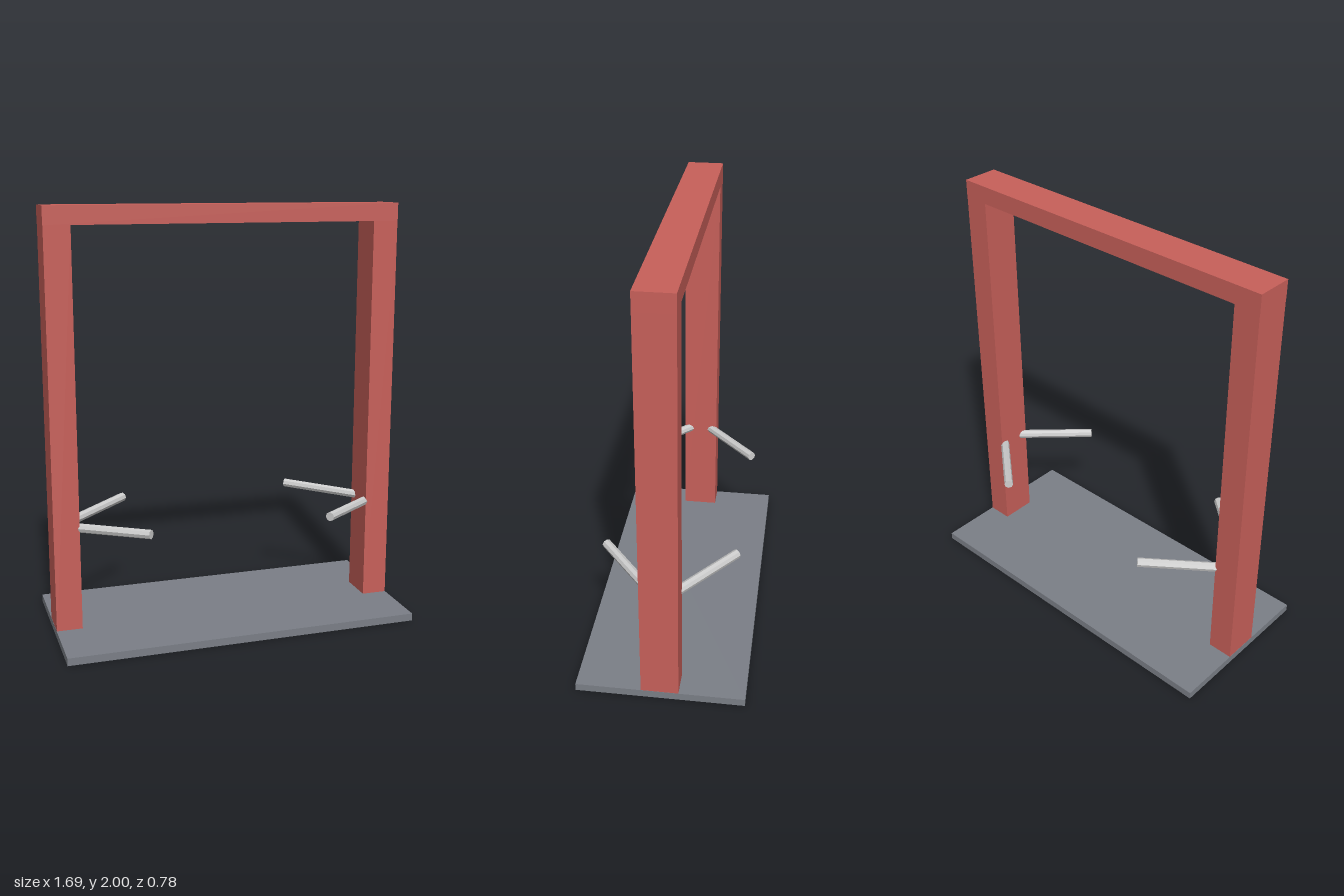
import * as THREE from 'three';

const red = new THREE.MeshStandardMaterial({ color: 0xc8605a });
const slate = new THREE.MeshStandardMaterial({ color: 0x7b7f87 });
const steel = new THREE.MeshStandardMaterial({ color: 0xcccccc, flatShading: true });

// Box given by its two opposite corners
function box(name, material, min, max) {
  const a = new THREE.Vector3(...min);
  const b = new THREE.Vector3(...max);
  const size = b.clone().sub(a);
  const mesh = new THREE.Mesh(new THREE.BoxGeometry(size.x, size.y, size.z), material);
  mesh.position.copy(a).add(b).multiplyScalar(0.5);
  mesh.name = name;
  return mesh;
}

// Straight round bar between two points
function rod(name, from, to, radius) {
  const axis = to.clone().sub(from);
  const mesh = new THREE.Mesh(new THREE.CylinderGeometry(radius, radius, axis.length(), 8), steel);
  mesh.position.copy(from).add(to).multiplyScalar(0.5);
  mesh.quaternion.setFromUnitVectors(new THREE.Vector3(0, 1, 0), axis.normalize());
  mesh.name = name;
  return mesh;
}

export function createModel() {
  const model = new THREE.Group();
  model.name = 'uprightFrame';

  // Floor plate; the right post shows through its underside
  model.add(box('basePlate', slate, [-0.845, 0.001, -0.392], [0.845, 0.037, 0.392]));
  model.add(box('rightPost', red, [-0.844, 0, -0.087], [-0.722, 1.915, 0.087]));
  model.add(box('leftPost', red, [0.722, 0.01, -0.087], [0.844, 1.915, 0.087]));

  // Beam across the top
  model.add(box('topBeam', red, [-0.845, 1.915, -0.087], [0.845, 2, 0.087]));

  // Four arms splayed inward, rising slightly to the tips
  for (const [side, sx] of [['left', 1], ['right', -1]]) {
    for (const [end, sz] of [['Front', 1], ['Back', -1]]) {
      const root = new THREE.Vector3(sx * 0.77, 0.525, sz * 0.026);
      const tip = new THREE.Vector3(sx * 0.435, 0.545, sz * 0.307);
      model.add(rod(`${side}${end}Arm`, root, tip, 0.022));
    }
  }
  return model;
}
